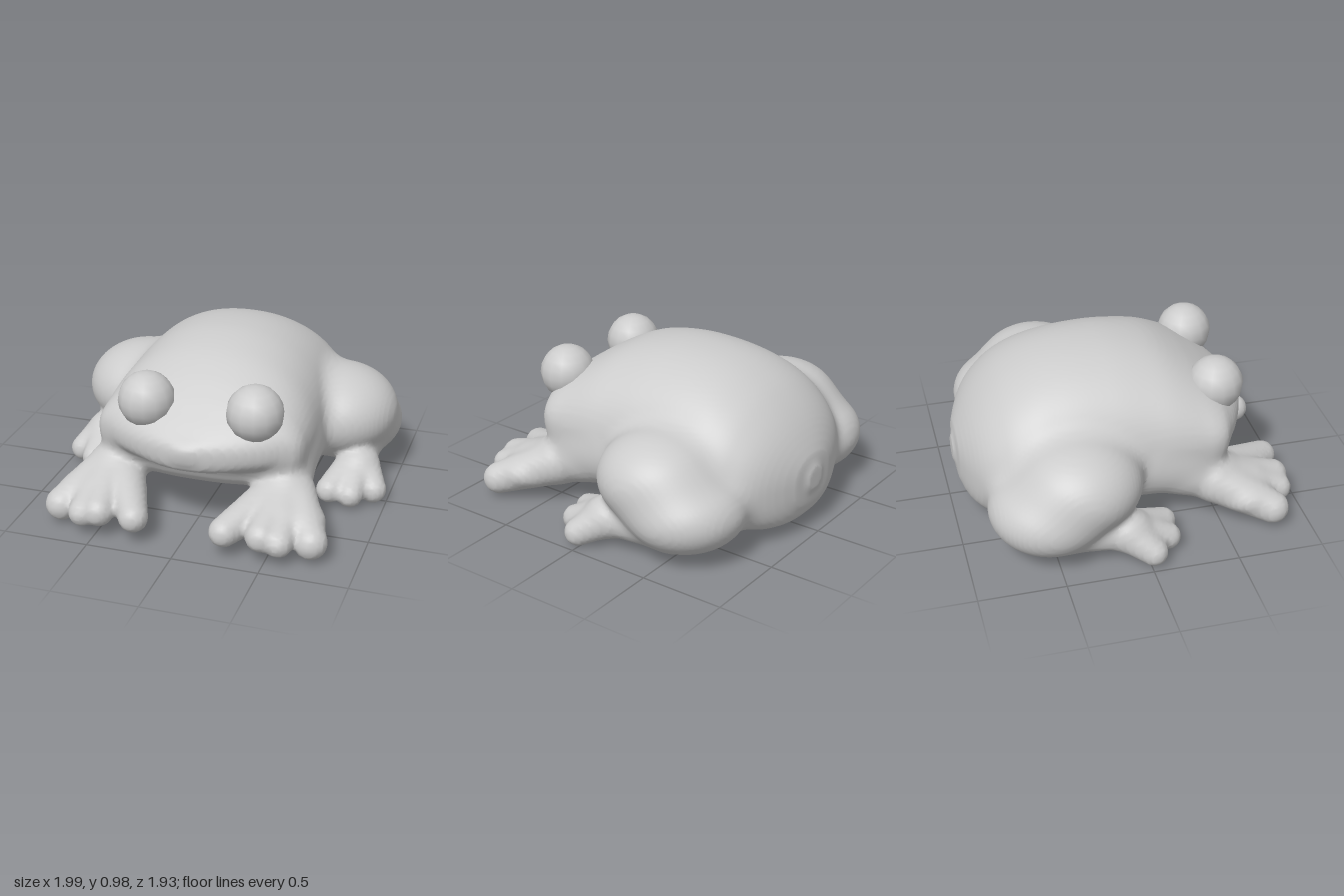
import * as THREE from 'three';

const material = new THREE.MeshStandardMaterial({ color: 0xcccccc });
const { lerp, clamp } = THREE.MathUtils;

function mesh(name, geometry) {
  const m = new THREE.Mesh(geometry, material);
  m.name = name;
  return m;
}

// Distance rules: negative inside a part, positive outside

function blend(a, b, k) {
  const h = Math.max(k - Math.abs(a - b), 0) / k;
  return Math.min(a, b) - h * h * k / 4;
}

function ellipsoid(p, c, r) {
  const q = p.map((v, i) => (v - c[i]) / r[i]);
  const near = Math.hypot(...q), slope = Math.hypot(...q.map((v, i) => v / r[i]));
  return near * (near - 1) / Math.max(slope, 1e-6);
}

// Tapered round bar between two [x, y, z, radius] stations
function bar(p, a, b) {
  const d = [0, 1, 2].map(i => b[i] - a[i]);
  const along = [0, 1, 2].reduce((sum, i) => sum + (p[i] - a[i]) * d[i], 0);
  const t = clamp(along / (d[0] ** 2 + d[1] ** 2 + d[2] ** 2), 0, 1);
  return Math.hypot(...d.map((v, i) => p[i] - a[i] - v * t)) - lerp(a[3], b[3], t);
}

// Trunk and head: [z, half width, bottom, widest height, top]
const sections = [
  [-0.97, 0.06, 0.28, 0.34, 0.4],
  [-0.955, 0.15, 0.2, 0.34, 0.46],
  [-0.92, 0.28, 0.11, 0.34, 0.54],
  [-0.85, 0.44, 0.06, 0.35, 0.655],
  [-0.72, 0.56, 0.05, 0.37, 0.795],
  [-0.58, 0.61, 0.05, 0.39, 0.885],
  [-0.4, 0.62, 0.05, 0.4, 0.95],
  [-0.1, 0.62, 0.055, 0.42, 0.98],
  [0.1, 0.62, 0.085, 0.44, 0.96],
  [0.25, 0.62, 0.15, 0.47, 0.92],
  [0.4, 0.615, 0.2, 0.49, 0.845],
  [0.5, 0.605, 0.24, 0.51, 0.78],
  [0.55, 0.575, 0.29, 0.52, 0.745],
  [0.59, 0.51, 0.355, 0.53, 0.715],
  [0.65, 0.41, 0.385, 0.53, 0.67],
  [0.72, 0.25, 0.405, 0.53, 0.615],
  [0.76, 0.12, 0.44, 0.53, 0.585],
  [0.785, 0.03, 0.51, 0.54, 0.56],
];
const tail = sections[0][0], nose = sections.at(-1)[0];
const profile = new THREE.CubicInterpolant(sections.map(s => s[0]), sections.flat(), 5);

function trunk([x, y, z]) {
  const [, w, bottom, mid, top] = profile.evaluate(clamp(z, tail, nose));
  const dy = y - mid, power = dy > 0 ? 2.15 : 2.6;
  const height = dy > 0 ? top - mid : mid - bottom;
  const rho = ((x / w) ** power + (Math.abs(dy) / height) ** power) ** (1 / power);
  const radial = Math.hypot(x, dy) * (1 - 1 / Math.max(rho, 1e-4));
  return Math.max(radial, z - nose, tail - z);
}

// Folded hind leg: raised thigh over a low, rounded rump
function haunch(p) {
  return blend(
    ellipsoid(p, [0.62, 0.42, -0.34], [0.355, 0.27, 0.36]),
    ellipsoid(p, [0.62, 0.285, -0.51], [0.355, 0.24, 0.35]), 0.08);
}

// Toes fan out from spread roots
function toes(p, tips, [rx, ry, rz, rr]) {
  return tips.reduce((d, tip) =>
    blend(d, bar(p, [lerp(rx, tip[0], 0.2), ry, rz, rr], tip), 0.03), 1);
}

const hindTips = [
  [0.68, 0.1, 0.135, 0.077], [0.805, 0.085, 0.13, 0.077], [0.92, 0.08, 0.02, 0.08]];
function hindFoot(p) {
  return blend(
    bar(p, [0.74, 0.19, -0.5, 0.13], [0.8, 0.17, -0.08, 0.11]),
    toes(p, hindTips, [0.8, 0.16, -0.1, 0.11]), 0.03);
}

const foreTips = [
  [0.735, 0.115, 0.785, 0.095], [0.575, 0.13, 0.87, 0.08],
  [0.475, 0.155, 0.87, 0.088], [0.265, 0.15, 0.875, 0.085]];
function foreleg(p) {
  const arm = blend(
    bar(p, [0.42, 0.36, 0.15, 0.2], [0.5, 0.25, 0.48, 0.15]),
    bar(p, [0.5, 0.25, 0.48, 0.15], [0.53, 0.18, 0.68, 0.1]), 0.03);
  const palm = ellipsoid(p, [0.53, 0.17, 0.65], [0.25, 0.1, 0.17]);
  return blend(blend(arm, palm, 0.06), toes(p, foreTips, [0.52, 0.23, 0.5, 0.13]), 0.03);
}

// The whole frog except the eyes, mirrored across x
function frog(x, y, z) {
  const p = [Math.abs(x), y, z];
  const rear = blend(blend(trunk(p), haunch(p), 0.09), hindFoot(p), 0.04);
  return blend(rear, foreleg(p), 0.07);
}

// Stretch a smooth skin over a field: one point per crossed cell, one quad per crossed edge
function skin(field, low, high, step) {
  const count = low.map((v, i) => Math.round((high[i] - v) / step) + 1);
  const stride = [1, count[0], count[0] * count[1]];
  const values = new Float32Array(count[0] * count[1] * count[2]);
  const place = n => [
    n % count[0], Math.floor(n / stride[1]) % count[1], Math.floor(n / stride[2])];
  for (let n = 0; n < values.length; n++) {
    values[n] = field(...place(n).map((v, i) => low[i] + v * step));
  }
  const points = [], index = [], pointOf = new Map();
  const corner = c => (c & 1) * stride[0] + (c >> 1 & 1) * stride[1] + (c >> 2) * stride[2];
  for (let n = 0; n < values.length; n++) {
    const at = place(n);
    if (at.some((v, i) => v === count[i] - 1)) continue;
    const sum = new THREE.Vector3();
    let hits = 0;
    for (let a = 0; a < 8; a++) {
      for (const bit of [1, 2, 4]) {
        const va = values[n + corner(a)], vb = values[n + corner(a | bit)];
        if (a & bit || va < 0 === vb < 0) continue;
        const t = va / (va - vb), on = [1, 2, 4].map(m => m === bit ? t : a & m ? 1 : 0);
        sum.add(new THREE.Vector3(...on));
        hits++;
      }
    }
    if (!hits) continue;
    pointOf.set(n, points.length);
    points.push(sum.divideScalar(hits).add(new THREE.Vector3(...at))
      .multiplyScalar(step).add(new THREE.Vector3(...low)));
  }
  for (const n of pointOf.keys()) {
    for (let axis = 0; axis < 3; axis++) {
      const inside = values[n] < 0;
      if (inside === values[n + stride[axis]] < 0) continue;
      const u = stride[(axis + 1) % 3], v = stride[(axis + 2) % 3];
      const [a, b, c, d] = [n - u - v, n - v, n, n - u].map(cell => pointOf.get(cell));
      index.push(...(inside ? [a, b, c, a, c, d] : [a, c, b, a, d, c]));
    }
  }
  const g = new THREE.BufferGeometry().setFromPoints(points);
  g.setIndex(index);
  g.computeVertexNormals();
  return g;
}

export function createModel() {
  const model = new THREE.Group();
  model.name = 'frog';
  model.add(mesh('bodyAndLegs', skin(frog, [-1.056, -0.055, -1.056], [1.056, 1.045, 1.056], 0.022)));
  // Bulging eyes, set slightly off centre
  for (const [name, x] of [['leftEye', 0.345], ['rightEye', -0.29]]) {
    const eye = mesh(name, new THREE.SphereGeometry(0.163, 14, 10));
    eye.position.set(x, 0.735, 0.55);
    model.add(eye);
  }
  return model;
}
